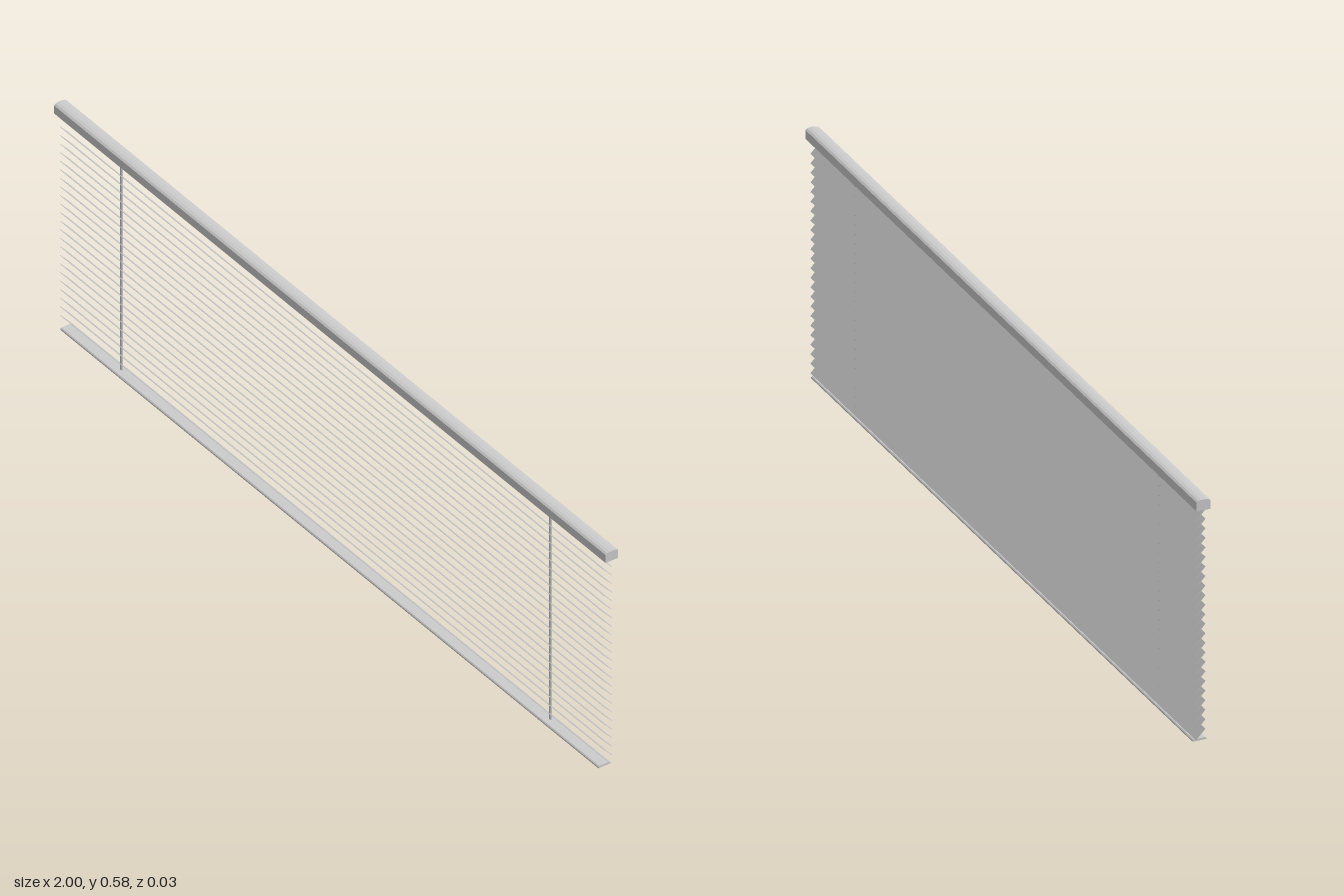
import * as THREE from 'three';

const material = new THREE.MeshStandardMaterial({ color: 0xcccccc, side: THREE.DoubleSide, flatShading: true });

// Extrudes a [z, y] cross-section along x, centred on x = 0.
function rail(name, section, length) {
  const shape = new THREE.Shape(section.map(([z, y]) => new THREE.Vector2(-z, y)));
  const geometry = new THREE.ExtrudeGeometry(shape, { depth: length, bevelEnabled: false });
  geometry.translate(0, 0, -length / 2).rotateY(Math.PI / 2);
  const mesh = new THREE.Mesh(geometry, material);
  mesh.name = name;
  return mesh;
}

function box(name, size, position) {
  const mesh = new THREE.Mesh(new THREE.BoxGeometry(...size), material);
  mesh.name = name;
  mesh.position.set(...position);
  return mesh;
}

export function createModel() {
  const model = new THREE.Group();
  model.name = 'venetianBlind';

  // Head rail with a gently crowned top
  model.add(rail('headRail', [
    [-0.0165, 0.555], [0.0165, 0.555], [0.0165, 0.5755], [0.012, 0.5785],
    [0.005, 0.58], [-0.005, 0.58], [-0.012, 0.5785], [-0.0165, 0.5755],
  ], 2));

  // Flat bottom rail with chamfered upper edges
  model.add(rail('bottomRail', [
    [-0.0145, 0], [0.0175, 0], [0.0175, 0.003], [0.015, 0.005], [-0.012, 0.005], [-0.0145, 0.003],
  ], 1.95));

  // Tilted slats: front edge high, back edge low
  const slats = new THREE.Group();
  slats.name = 'slats';
  const count = 24, firstY = 0.0185, lastY = 0.5365;
  for (let i = 0; i < count; i++) {
    const y = firstY + (lastY - firstY) * i / (count - 1);
    const slat = box('slat', [1.97, 0.0008, 0.0325], [0, y, 0]);
    slat.rotation.x = -Math.atan2(0.0238, 0.022);
    slats.add(slat);
  }
  model.add(slats);

  // Ladder cords and the small guides they hang from
  for (const [side, x] of [['right', -0.777], ['left', 0.777]]) {
    model.add(box(side + 'Cord', [0.005, 0.552, 0.004], [x, 0.279, 0]));
    model.add(box(side + 'CordGuide', [0.02, 0.005, 0.012], [x, 0.553, -0.001]));
  }
  return model;
}
